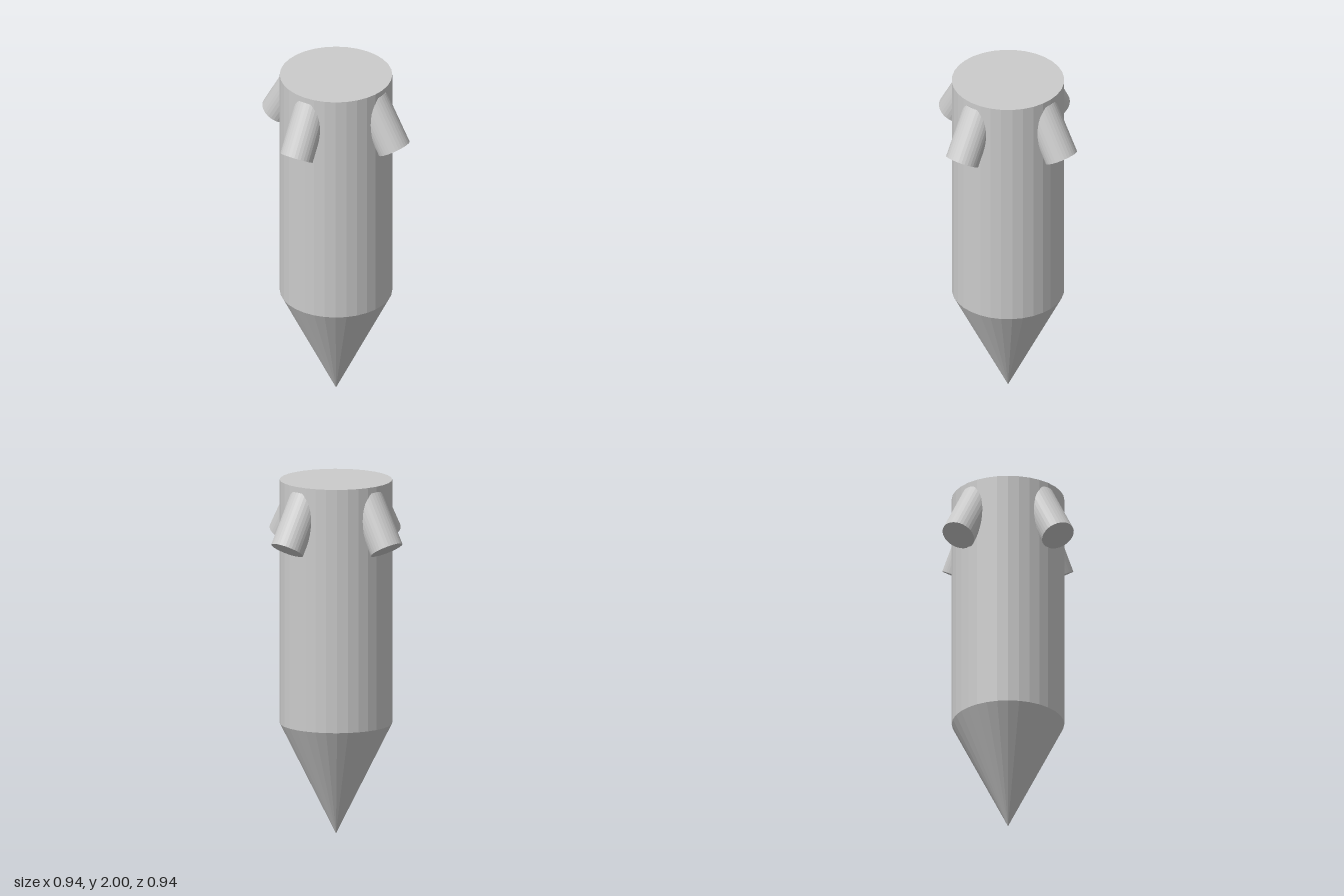
import * as THREE from 'three';

export function createModel() {
  const model = new THREE.Group();
  const material = new THREE.MeshStandardMaterial({ color: 0xcccccc, flatShading: true });
  const radius = 0.3125, tipHeight = 0.625, bodyHeight = 1.375, sides = 32;

  function add(name, geometry, parent = model) {
    const mesh = new THREE.Mesh(geometry, material);
    mesh.name = name;
    parent.add(mesh);
    return mesh;
  }

  // Upright shaft with a flat top
  add('shaft', new THREE.CylinderGeometry(radius, radius, bodyHeight, sides))
    .position.y = tipHeight + bodyHeight / 2;

  // Point, standing on its apex
  add('tip', new THREE.CylinderGeometry(radius, 0, tipHeight, sides, 1, true))
    .position.y = tipHeight / 2;

  // Four pegs slanting down and out from the shaft
  ['leftPeg', 'backPeg', 'rightPeg', 'frontPeg'].forEach((name, i) => {
    const arm = new THREE.Group();
    arm.name = name + 'Arm';
    arm.rotation.y = i * Math.PI / 2;
    model.add(arm);
    const peg = add(name, new THREE.CylinderGeometry(0.094, 0.094, 0.3125, sides), arm);
    peg.position.set(radius, 1.7875, 0);
    peg.rotation.z = Math.PI / 6;
  });

  return model;
}
